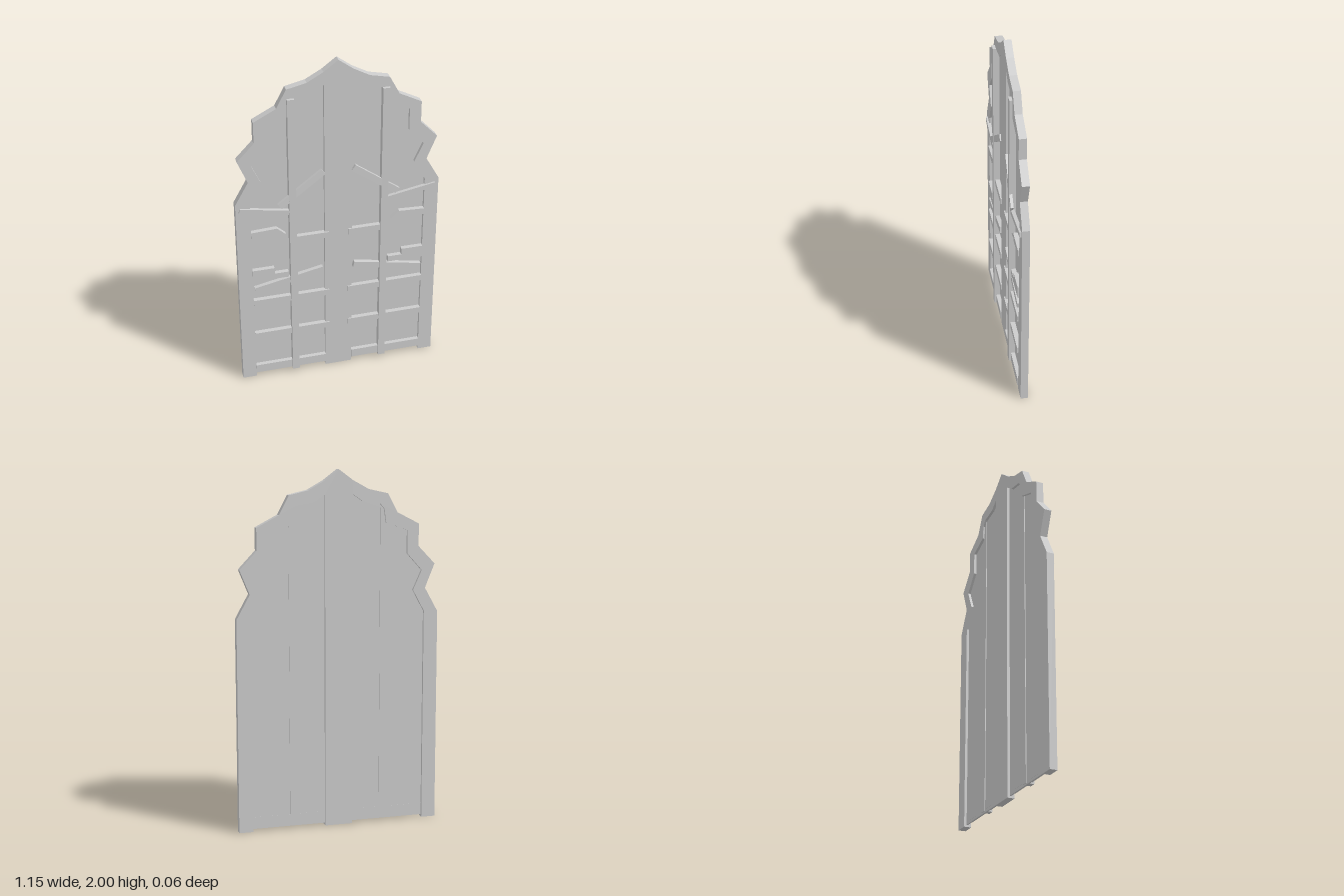
import * as THREE from 'three';

const material = new THREE.MeshStandardMaterial({ color: 0xcccccc, flatShading: true });

// Scalloped outer edge and the matching inner edge of one door leaf
const outer = [[0, 0], [0, 2], [0.08, 1.94], [0.17, 1.89], [0.28, 1.865], [0.335, 1.76], [0.46, 1.695],
  [0.46, 1.57], [0.555, 1.47], [0.5, 1.335], [0.575, 1.2], [0.575, 0]];
const inner = [[0.495, 0], [0.495, 1.205], [0.43, 1.325], [0.48, 1.435], [0.395, 1.53], [0.395, 1.66],
  [0.27, 1.705], [0.26, 1.78], [0.235, 1.81], [0.135, 1.825], [0.078, 1.865], [0.078, 0]];

function createLeaf(side) {
  const leaf = new THREE.Group();
  leaf.name = side > 0 ? 'leftLeaf' : 'rightLeaf';

  const add = (name, geometry) => {
    const mesh = new THREE.Mesh(geometry, material);
    mesh.name = name;
    leaf.add(mesh);
    return mesh;
  };

  // Flat plate cut from an outline, between two depths
  const plate = (name, points, z0, z1) => {
    const shape = new THREE.Shape(points.map(([x, y]) => new THREE.Vector2(side * x, y)));
    const geometry = new THREE.ExtrudeGeometry(shape, { depth: z1 - z0, bevelEnabled: false });
    return add(name, geometry.translate(0, 0, z0));
  };

  // Upright or level bar given by its limits
  const bar = (name, x0, x1, y0, y1, z0, z1) => {
    const mesh = add(name, new THREE.BoxGeometry(x1 - x0, y1 - y0, z1 - z0));
    mesh.position.set(side * (x0 + x1) / 2, (y0 + y1) / 2, (z0 + z1) / 2);
  };

  // Slanted plank running between two points
  const plank = (name, from, to, width, thickness) => {
    const a = new THREE.Vector3(side * from[0], from[1], from[2]);
    const b = new THREE.Vector3(side * to[0], to[1], to[2]);
    const direction = b.clone().sub(a);
    const mesh = add(name, new THREE.BoxGeometry(direction.length(), width, thickness));
    const xAxis = direction.clone().normalize();
    const yAxis = new THREE.Vector3(0, 0, 1).cross(xAxis).normalize();
    const zAxis = xAxis.clone().cross(yAxis);
    mesh.quaternion.setFromRotationMatrix(new THREE.Matrix4().makeBasis(xAxis, yAxis, zAxis));
    mesh.position.copy(a).add(b).multiplyScalar(0.5);
  };

  // Frame open at the bottom, with a thin recessed panel
  plate('frame', [...outer, ...inner], -0.031, 0.011);
  plate('panel', inner.map(([x, y]) => [x, Math.max(y, 0.012)]), -0.016, -0.008);

  // Post and level rails
  bar('post', 0.24, 0.28, 0.02, 1.81, -0.02, 0.028);
  bar('bottomRail', 0.078, 0.495, 0.028, 0.08, -0.0165, 0.016);
  bar('lowerRail', 0.055, 0.495, 0.28, 0.318, -0.01, 0.019);
  bar('middleRail', 0.055, 0.495, 0.515, 0.552, -0.01, 0.019);
  bar('shortRail', 0.055, 0.25, 0.912, 0.948, -0.01, 0.019);

  // Loose and slipped planks
  plank('slippedRail', [0.088, 0.7, 0.006], [0.484, 0.62, 0.006], 0.037, 0.024);
  plank('outerPlank', [0.28, 1.115, 0.012], [0.555, 1.165, 0.012], 0.028, 0.02);
  plank('diagonalPlank', [0.085, 1.343, 0.01], [0.332, 1.165, 0.022], 0.037, 0.016);

  // Broken rail ends
  plate('steppedStub', [[0.29, 0.685], [0.495, 0.685], [0.495, 0.758], [0.37, 0.758], [0.37, 0.72], [0.29, 0.72]],
    -0.01, 0.018);
  plate('splinteredStub', [[0.495, 0.975], [0.495, 1.013], [0.35, 1.02], [0.3, 0.975], [0.355, 0.99], [0.37, 0.975]],
    -0.01, 0.018);
  return leaf;
}

export function createModel() {
  const group = new THREE.Group();
  group.name = 'gate';
  group.add(createLeaf(1), createLeaf(-1));
  return group;
}
